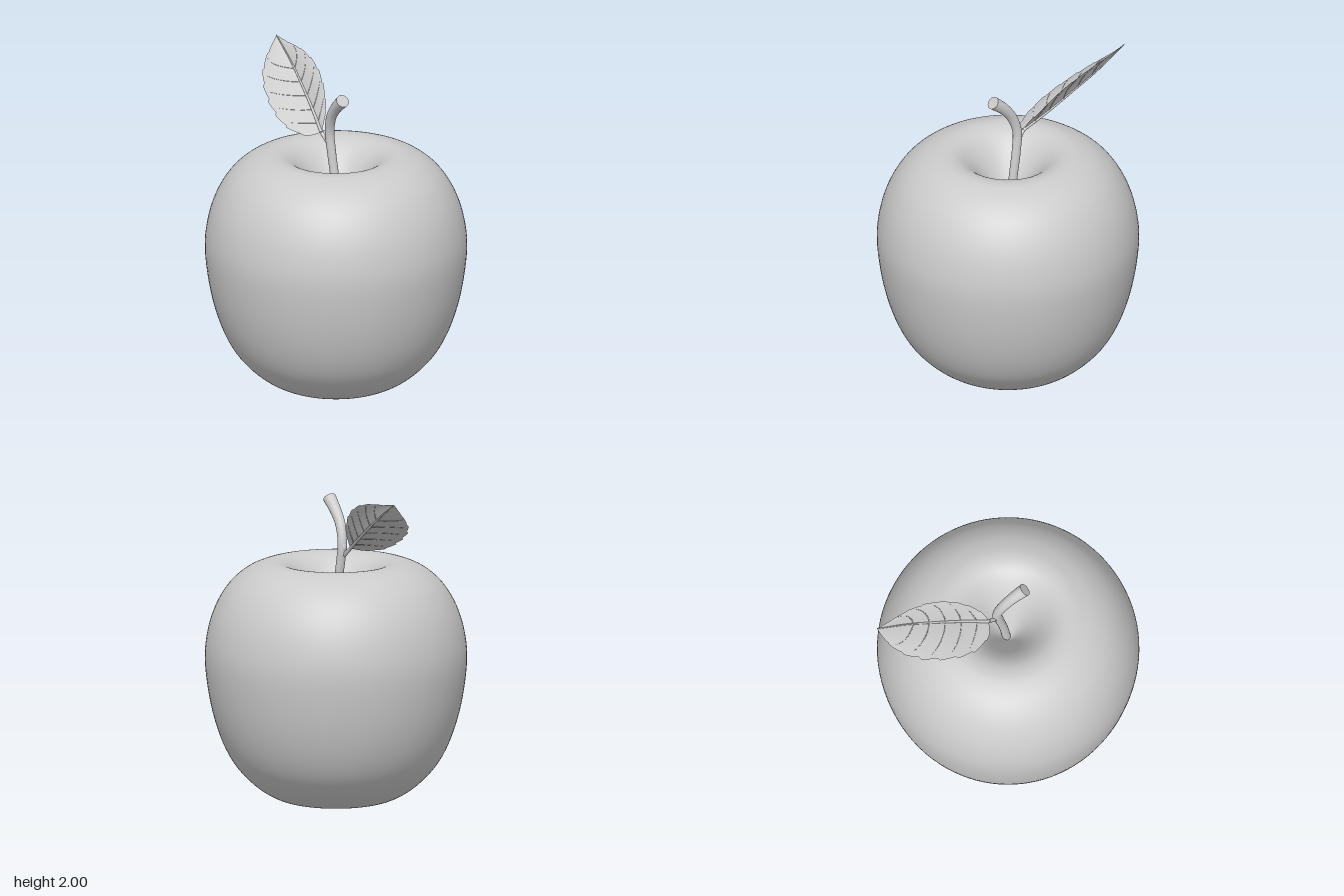
import * as THREE from 'three';

const grey = new THREE.MeshStandardMaterial({ color: 0xcccccc, roughness: 0.8 });
const greyThin = new THREE.MeshStandardMaterial({ color: 0xcccccc, roughness: 0.8, side: THREE.DoubleSide });

const curve = (pts) => new THREE.CatmullRomCurve3(pts.map((p) => new THREE.Vector3(...p)));

function mesh(name, geometry, material = grey) {
  const m = new THREE.Mesh(geometry, material);
  m.name = name;
  return m;
}

// Tube along a curve whose radius follows radiusAt(t)
function taperedTube(path, segments, sides, radiusAt) {
  const g = new THREE.TubeGeometry(path, segments, 1, sides);
  const pos = g.attributes.position;
  const v = new THREE.Vector3();
  for (let i = 0; i <= segments; i++) {
    const centre = path.getPointAt(i / segments);
    for (let j = 0; j <= sides; j++) {
      const k = i * (sides + 1) + j;
      v.fromBufferAttribute(pos, k).sub(centre).multiplyScalar(radiusAt(i / segments)).add(centre);
      pos.setXYZ(k, v.x, v.y, v.z);
    }
  }
  g.computeBoundingSphere();
  return g;
}

// Fruit: lathe from the lower dimple, up the side and into the stem cavity
function createFruit() {
  const profile = new THREE.SplineCurve([
    [0, 0.15], [0.04, 0.138], [0.09, 0.09], [0.15, 0.038], [0.21, 0.01], [0.27, 0.001],
    [0.36, 0.022], [0.46, 0.075], [0.56, 0.16], [0.65, 0.275], [0.725, 0.44], [0.78, 0.65],
    [0.808, 0.89], [0.79, 1.07], [0.74, 1.225], [0.66, 1.355], [0.56, 1.443], [0.46, 1.488],
    [0.38, 1.5], [0.3, 1.477], [0.22, 1.41], [0.14, 1.305], [0.07, 1.19], [0.025, 1.11], [0, 1.09],
  ].map(([x, y]) => new THREE.Vector2(x, y)));
  const pts = profile.getPoints(120);
  pts.forEach((p) => { p.x = Math.max(p.x, 0); p.y = Math.min(Math.max(p.y, 0), 1.5); });
  return mesh('fruit', new THREE.LatheGeometry(pts, 96));
}

// Stem: bent stalk flaring to a flat cut end, with a small bud at the leaf joint
function createStem() {
  const stem = new THREE.Group();
  stem.name = 'stem';
  const path = curve([
    [0, 1.08, -0.015], [-0.025, 1.3, -0.018], [-0.06, 1.5, -0.018], [-0.072, 1.62, -0.014],
    [-0.04, 1.73, 0.002], [0.02, 1.81, 0.018], [0.1, 1.88, 0.038],
  ]);
  const radiusAt = (t) => 0.027 + 0.014 * t ** 4;
  stem.add(mesh('stalk', taperedTube(path, 40, 20, radiusAt)));
  const cap = mesh('stalkEnd', new THREE.CircleGeometry(radiusAt(1), 20));
  cap.position.copy(path.getPointAt(1));
  cap.quaternion.setFromUnitVectors(new THREE.Vector3(0, 0, 1), path.getTangentAt(1));
  stem.add(cap);
  const bud = mesh('bud', new THREE.SphereGeometry(0.02, 14, 10));
  bud.scale.set(0.8, 1.6, 0.8);
  bud.position.set(-0.09, 1.6, -0.018);
  stem.add(bud);
  return stem;
}

// Leaf: blade lofted between a midrib and two toothed edges, with raised veins
function createLeaf() {
  const leaf = new THREE.Group();
  leaf.name = 'leaf';
  const base = [-0.14, 1.6, -0.01];
  const tip = [-0.81, 2, -0.265];
  const mid = curve([base, [-0.3, 1.695, -0.085], [-0.45, 1.785, -0.147], [-0.62, 1.885, -0.212], tip]);
  const front = curve([base, [-0.19, 1.585, 0.06], [-0.32, 1.607, 0.098], [-0.46, 1.665, 0.08],
    [-0.63, 1.755, 0.005], [-0.745, 1.84, -0.09], [-0.795, 1.92, -0.185], tip]);
  const back = curve([base, [-0.148, 1.65, -0.035], [-0.185, 1.725, -0.09], [-0.3, 1.855, -0.17],
    [-0.43, 1.93, -0.225], [-0.58, 1.972, -0.255], [-0.71, 1.985, -0.262], tip]);

  // s runs from base to tip, w from the back edge (-1) to the front edge (1)
  const bladePoint = (s, w) => {
    const a = Math.abs(w);
    const tooth = 1 + 0.06 * a ** 4 * (((s * 8) % 1) - 0.5);
    const p = mid.getPointAt(s).lerp((w < 0 ? back : front).getPointAt(s), a * tooth);
    p.y += 0.012 * Math.sin(Math.PI * a) * Math.sin(Math.PI * s);
    return p;
  };

  const blade = new THREE.PlaneGeometry(2, 1, 24, 90);
  const pos = blade.attributes.position;
  for (let i = 0; i < pos.count; i++) {
    const p = bladePoint(THREE.MathUtils.clamp(0.5 + pos.getY(i), 0, 1), pos.getX(i));
    pos.setXYZ(i, p.x, p.y, p.z);
  }
  blade.computeVertexNormals();
  leaf.add(mesh('blade', blade, greyThin));

  leaf.add(mesh('midrib', taperedTube(mid, 40, 10, (t) => 0.011 - 0.008 * t)));
  const petiole = curve([[-0.045, 1.49, -0.015], [-0.085, 1.55, -0.012], base]);
  leaf.add(mesh('petiole', taperedTube(petiole, 12, 12, (t) => 0.018 - 0.007 * t)));

  // Side veins sweep from the midrib towards the tip
  for (const side of [-1, 1]) {
    for (let n = 0; n < 5; n++) {
      const s0 = 0.1 + n * 0.14;
      const pts = [0, 0.25, 0.5, 0.75, 1].map((k) => bladePoint(s0 + 0.08 * k * k + 0.08 * k, side * 0.88 * k));
      const vein = new THREE.CatmullRomCurve3(pts);
      leaf.add(mesh('sideVein', taperedTube(vein, 14, 6, (t) => 0.0035 - 0.0025 * t)));
    }
  }
  return leaf;
}

export function createModel() {
  const model = new THREE.Group();
  model.name = 'apple';
  model.add(createFruit(), createStem(), createLeaf());
  return model;
}
